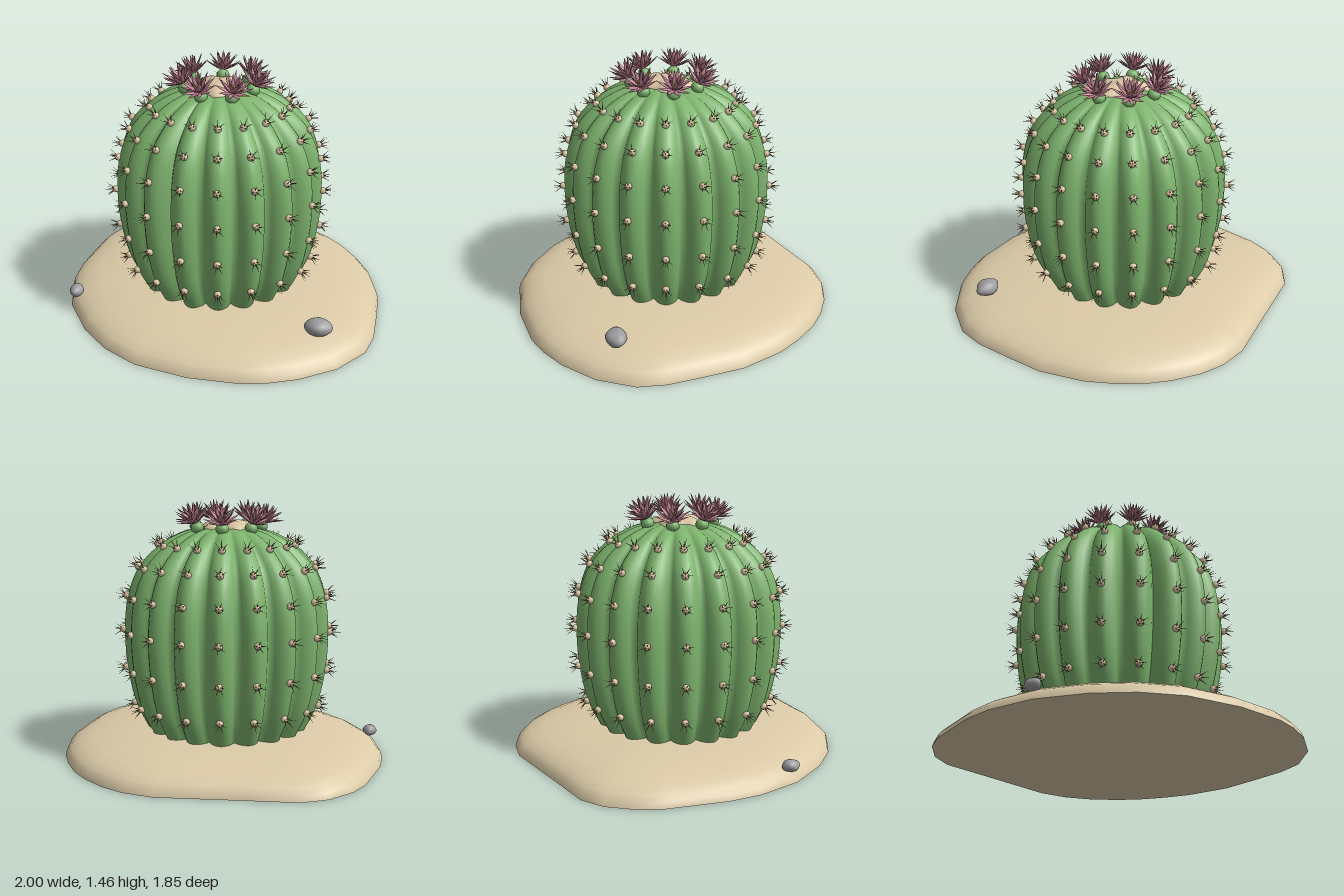
import * as THREE from 'three';
import { mergeGeometries, mergeVertices } from 'three/addons/utils/BufferGeometryUtils.js';

const mat = (name, color) => {
  const m = new THREE.MeshStandardMaterial({ color });
  m.name = name;
  return m;
};
const MATS = {
  sand: mat('sand', 0xdccba8),
  green: mat('cactus green', 0x7db36d),
  wool: mat('cream wool', 0xd9c5a3),
  spine: mat('spine brown', 0x8a6b42),
  petal: mat('petal pink', 0xc07f91),
  stamen: mat('stamen yellow', 0xc2a548),
  rock: mat('rock grey', 0x9c9c9e),
};
const RIBS = 18;
const CENTER = new THREE.Vector3(-0.025, 0, 0.03);
const UP = new THREE.Vector3(0, 1, 0);

const mesh = (name, geometry, material) => {
  const m = new THREE.Mesh(geometry, material);
  m.name = name;
  return m;
};

// Copy of a geometry with its y axis turned to dir and its origin moved to pos
const aim = (geometry, pos, dir) => geometry.clone().applyMatrix4(new THREE.Matrix4().compose(
  pos, new THREE.Quaternion().setFromUnitVectors(UP, dir), new THREE.Vector3(1, 1, 1)));

// Move every vertex by a rule, then smooth the normals
const deform = (geometry, rule) => {
  const p = geometry.attributes.position;
  const v = new THREE.Vector3();
  for (let i = 0; i < p.count; i++) {
    rule(v.fromBufferAttribute(p, i));
    p.setXYZ(i, v.x, v.y, v.z);
  }
  geometry.computeVertexNormals();
  return geometry;
};

// Sand mound: an irregular outline shrunk in rings up a domed profile
function createMound() {
  const outline = [
    [-0.19, -0.89], [-0.02, -0.925], [0.13, -0.915], [0.29, -0.87], [0.42, -0.81], [0.56, -0.71],
    [0.68, -0.6], [0.83, -0.39], [0.91, -0.18], [0.98, 0.02], [1, 0.18], [0.935, 0.4], [0.8, 0.59],
    [0.68, 0.7], [0.56, 0.78], [0.29, 0.88], [-0.02, 0.925], [-0.25, 0.885], [-0.465, 0.79],
    [-0.695, 0.62], [-0.855, 0.4], [-0.925, 0.23], [-1, -0.1], [-1, -0.24], [-0.95, -0.41],
    [-0.855, -0.53], [-0.63, -0.65], [-0.41, -0.77],
  ];
  const rings = [[1, 0], [0.99, 0.03], [0.96, 0.06], [0.91, 0.085], [0.83, 0.11], [0.7, 0.13],
    [0.5, 0.15], [0.25, 0.158], [0.02, 0.16]];
  const n = outline.length;
  const pos = [];
  const index = [];
  rings.forEach(([s, y], i) => outline.forEach(([x, z], j) => {
    pos.push(x * s, y, z * s);
    if (i === rings.length - 1) return;
    const a = i * n + j, b = i * n + (j + 1) % n;
    index.push(a, a + n, b, b, a + n, b + n);
  }));
  const dome = new THREE.BufferGeometry();
  dome.setAttribute('position', new THREE.Float32BufferAttribute(pos, 3));
  dome.setIndex(index);
  dome.computeVertexNormals();
  const base = new THREE.ShapeGeometry(new THREE.Shape(outline.map(([x, z]) => new THREE.Vector2(x, z))));
  base.rotateX(Math.PI / 2);
  const group = new THREE.Group();
  group.name = 'sandMound';
  group.add(mesh('moundTop', dome, MATS.sand), mesh('moundBase', base, MATS.sand));
  return group;
}

// Ribbed body: a lathe pinched into valleys between the ribs
const profile = new THREE.SplineCurve([
  [0.42, 0.08], [0.46, 0.15], [0.532, 0.3], [0.577, 0.51], [0.59, 0.73], [0.57, 0.925], [0.505, 1.09],
  [0.39, 1.21], [0.29, 1.27], [0.2, 1.3], [0.1, 1.318], [0.001, 1.325],
].map(([r, y]) => new THREE.Vector2(r, y)));

function createBody() {
  const g = new THREE.LatheGeometry(profile.getPoints(36), RIBS * 8);
  deform(g, (v) => {
    const rib = Math.abs(Math.cos(Math.atan2(v.z, v.x) * RIBS / 2));
    const k = 1 - 0.14 * (1 - Math.pow(rib, 0.85));
    v.x *= k;
    v.z *= k;
  });
  return mesh('cactusBody', g, MATS.green);
}

// Woolly cushions with a spray of spines along every rib
function createSpines() {
  const pad = new THREE.SphereGeometry(0.021, 8, 6);
  const spine = new THREE.ConeGeometry(0.0042, 0.068, 4);
  spine.translate(0, 0.034, 0);
  const pads = [], spines = [];
  for (let row = 2; row <= 7; row++) {
    const t = row / 11;
    const p = profile.getPoint(t), tan = profile.getTangent(t);
    for (let k = 0; k < RIBS; k++) {
      const a = k * Math.PI * 2 / RIBS;
      const out = new THREE.Vector3(Math.cos(a), 0, Math.sin(a));
      const normal = out.clone().multiplyScalar(tan.y).addScaledVector(UP, -tan.x).normalize();
      const side = new THREE.Vector3(-out.z, 0, out.x);
      const along = new THREE.Vector3().crossVectors(side, normal);
      const pos = out.clone().multiplyScalar(p.x).setY(p.y).addScaledVector(normal, 0.006);
      pads.push(aim(pad, pos, normal));
      spines.push(aim(spine, pos, normal));
      for (let s = 0; s < 5; s++) {
        const b = s * Math.PI * 2 / 5 + k * 0.7 + row;
        const dir = normal.clone().addScaledVector(side, 0.75 * Math.cos(b))
          .addScaledVector(along, 0.75 * Math.sin(b)).normalize();
        spines.push(aim(spine, pos, dir));
      }
    }
  }
  return [mesh('woolPads', mergeGeometries(pads), MATS.wool),
    mesh('spines', mergeGeometries(spines), MATS.spine)];
}

// Lobed woolly crown
function createCrown() {
  const g = new THREE.SphereGeometry(1, 40, 16);
  deform(g, (v) => {
    const a = Math.atan2(v.z, v.x), r = Math.hypot(v.x, v.z);
    const k = 0.148 * (1 + 0.13 * r * Math.cos(5 * a + 0.6));
    v.set(v.x * k, 1.3 + v.y * (0.055 + 0.006 * r * Math.cos(5 * a + 0.6)), v.z * k);
  });
  return mesh('woolCrown', g, MATS.wool);
}

// Flower: green bud, three whorls of pointed petals and a stamen cluster
function createFlower() {
  const petal = new THREE.LatheGeometry(
    [[0.003, 0], [0.012, 0.045], [0.0115, 0.075], [0, 0.13]].map(([x, y]) => new THREE.Vector2(x, y)), 6);
  petal.scale(1, 1, 0.35);
  const petals = [];
  [[10, 1.1, 0.92], [8, 0.72, 1], [6, 0.36, 0.92]].forEach(([n, tilt, len], w) => {
    for (let i = 0; i < n; i++) {
      petals.push(petal.clone().scale(1, len, 1).rotateX(tilt)
        .rotateY((i + w * 0.5) * Math.PI * 2 / n).translate(0, 0.025, 0));
    }
  });
  const stamens = [0, 1, 2, 3, 4].map((i) => new THREE.SphereGeometry(0.008, 6, 5)
    .translate(0.01 * Math.cos(i * 1.257), 0.07, 0.01 * Math.sin(i * 1.257)));
  const bud = new THREE.SphereGeometry(0.037, 14, 10);
  bud.scale(1, 0.9, 1);
  const group = new THREE.Group();
  group.name = 'flower';
  group.add(mesh('bud', bud, MATS.green), mesh('petals', mergeGeometries(petals), MATS.petal),
    mesh('stamens', mergeGeometries(stamens), MATS.stamen));
  return group;
}

// Smooth lumpy pebble
function createRock(x, y, z, size, turn) {
  let g = new THREE.IcosahedronGeometry(1, 3);
  g.deleteAttribute('uv');
  g.deleteAttribute('normal');
  g = mergeVertices(g, 1e-4);
  deform(g, (v) => v.multiplyScalar(1 + 0.07 * Math.sin(3 * v.x + turn * 5) + 0.06 * Math.cos(4 * v.z + 2 * v.y)));
  g.scale(...size);
  const rock = mesh('rock', g, MATS.rock);
  rock.position.set(x, y, z);
  rock.rotation.y = turn;
  return rock;
}

export function createModel() {
  const model = new THREE.Group();
  model.name = 'barrelCactus';
  const cactus = new THREE.Group();
  cactus.name = 'cactus';
  cactus.position.copy(CENTER);
  cactus.add(createBody(), ...createSpines(), createCrown());

  // Ring of seven flowers leaning outward
  for (let i = 0; i < 7; i++) {
    const a = i * Math.PI * 2 / 7;
    const flower = createFlower();
    flower.rotation.set(0.42, a, 0, 'YXZ');
    flower.position.set(0.195 * Math.sin(a), 1.315, 0.195 * Math.cos(a));
    cactus.add(flower);
  }
  model.add(createMound(), cactus,
    createRock(0.765, 0.153, 0.295, [0.08, 0.043, 0.058], 0.35),
    createRock(-0.68, 0.09, 0.585, [0.042, 0.032, 0.05], 0.3));
  return model;
}
